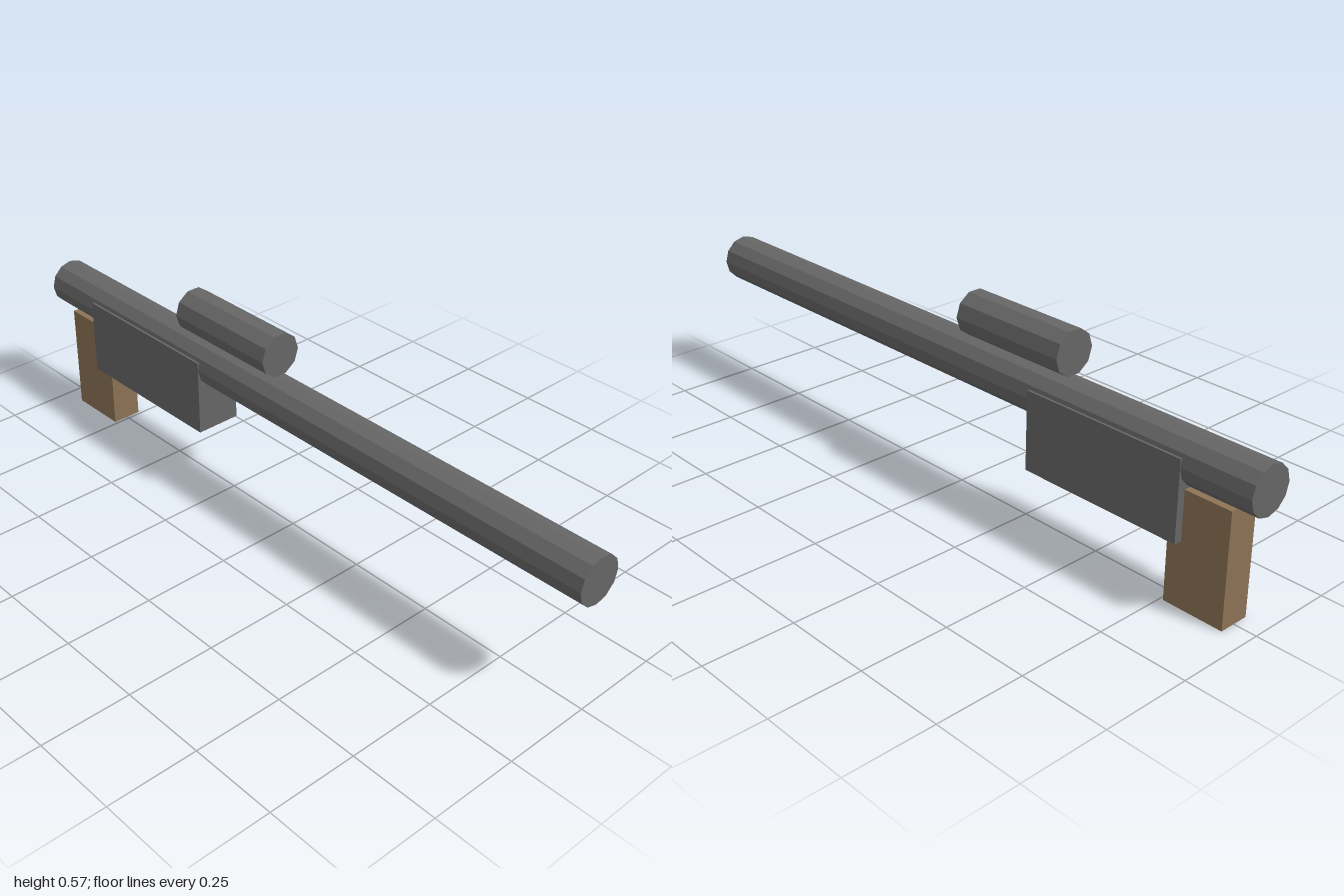
import * as THREE from 'three';

export function createModel() {
  const group = new THREE.Group();
  const metal = new THREE.MeshStandardMaterial({ color: 0x666666, flatShading: true });
  metal.name = 'grey metal';
  const wood = new THREE.MeshStandardMaterial({ color: 0x8b7355, flatShading: true });
  wood.name = 'brown wood';

  function add(name, geometry, material, x, y) {
    const mesh = new THREE.Mesh(geometry, material);
    mesh.name = name;
    mesh.position.set(x, y, 0);
    group.add(mesh);
  }
  // Low-poly rod lying along x
  const rod = (radius, length, sides) =>
    new THREE.CylinderGeometry(radius, radius, length, sides).rotateZ(-Math.PI / 2);

  add('barrel', rod(0.066, 2, 12), metal, 0, 0.378);
  add('scope', rod(0.062, 0.355, 10), metal, -0.226, 0.511);
  add('body', new THREE.BoxGeometry(0.488, 0.221, 0.133), metal, -0.556, 0.29);
  add('grip', new THREE.BoxGeometry(0.176, 0.315, 0.088), wood, -0.847, 0.1575);

  return group;
}
